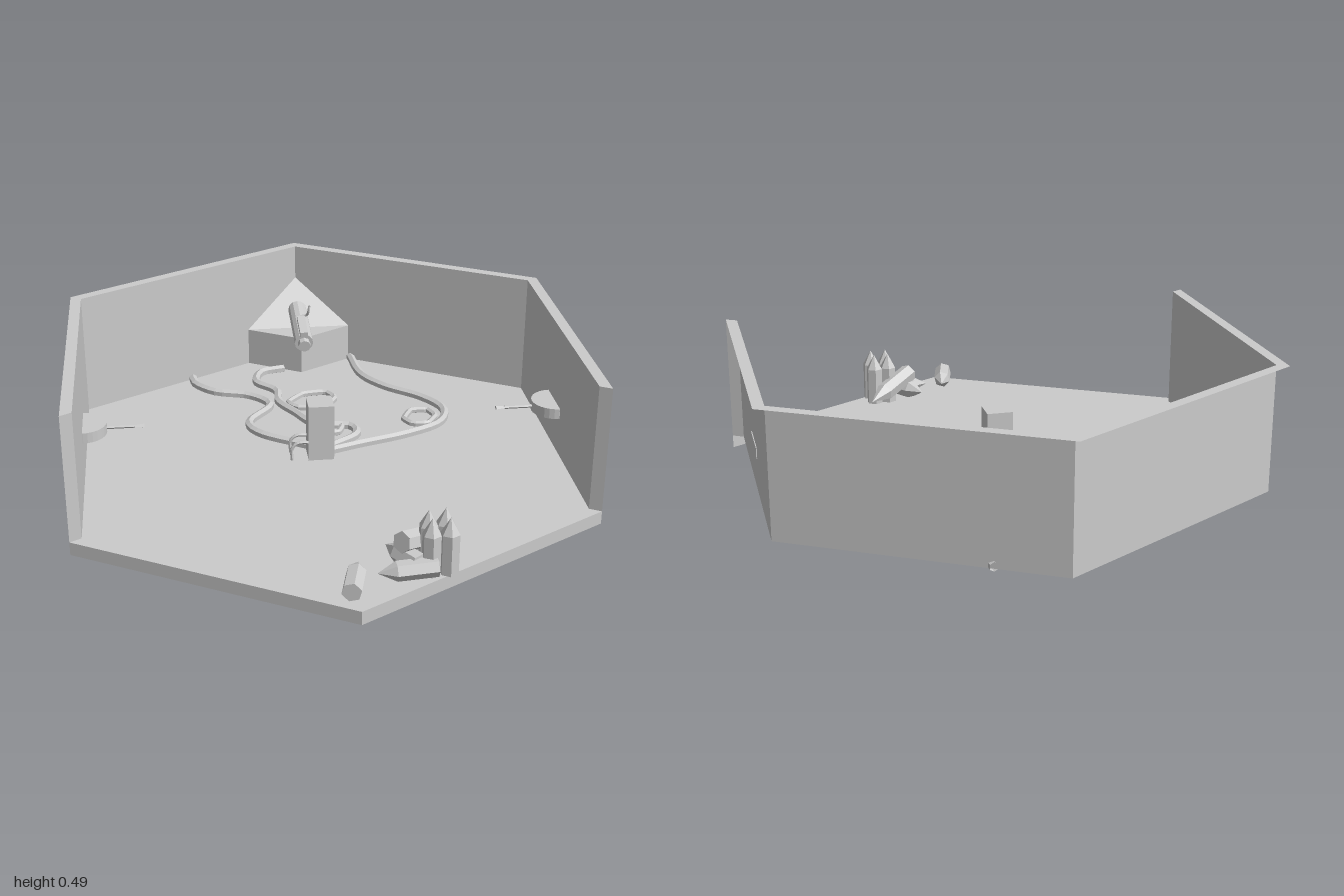
import * as THREE from 'three';

const FLOOR = 0.046, TOP = 0.49, INNER = 0.956;
const mat = new THREE.MeshStandardMaterial({ color: 0xcccccc, flatShading: true, side: THREE.DoubleSide });
const V = (x, y, z) => new THREE.Vector3(x, y, z);

function add(parent, geometry, name) {
  const mesh = new THREE.Mesh(geometry, mat);
  mesh.name = name;
  parent.add(mesh);
  return mesh;
}

// flat polygon from corner points, as a fan
function sheet(parent, name, ...pts) {
  const g = new THREE.BufferGeometry().setFromPoints(pts);
  const index = [];
  for (let i = 1; i < pts.length - 1; i++) index.push(0, i, i + 1);
  g.setIndex(index);
  g.computeVertexNormals();
  return add(parent, g, name);
}

// turn a mesh built along +y so it runs from a to b
function aim(mesh, a, b) {
  mesh.position.copy(a);
  mesh.quaternion.setFromUnitVectors(V(0, 1, 0), b.clone().sub(a).normalize());
  return mesh;
}

function rod(parent, name, a, b, r, sides) {
  const len = a.distanceTo(b);
  const g = new THREE.CylinderGeometry(r, r, len, sides).translate(0, len / 2, 0);
  return aim(add(parent, g, name), a, b);
}

// six-sided prism with a pointed end
function crystal(parent, a, b, r, tip) {
  const len = a.distanceTo(b);
  const profile = [[0, 0], [r, 0], [r, len - tip], [0, len]].map(p => new THREE.Vector2(...p));
  aim(add(parent, new THREE.LatheGeometry(profile, 6), 'crystal'), a, b);
}

// pipe lying on the floor through [x, z] points
function floorPipe(parent, name, pts, r, closed = false) {
  const path = pts.map(([x, z]) => V(x, 0.055, z));
  const curve = closed
    ? path.reduce((c, p, i) => (c.add(new THREE.LineCurve3(p, path[(i + 1) % path.length])), c), new THREE.CurvePath())
    : new THREE.CatmullRomCurve3(path);
  if (!closed) return add(parent, new THREE.TubeGeometry(curve, pts.length * 4, r, 6), name);
  const ring = new THREE.CatmullRomCurve3(path, true, 'catmullrom', 0.15);
  return add(parent, new THREE.TubeGeometry(ring, pts.length * 4, r, 6, true), name);
}

export function createModel() {
  const model = new THREE.Group();
  model.name = 'hexagonalRoom';

  // floor: full hexagon in front, inner hexagon behind the walls
  const outer = [[0.866, 0.5], [0.866, -0.5], [0, -1], [-0.866, -0.5], [-0.866, 0.5]];
  const inner = outer.map(([x, z]) => [x * INNER, z * INNER]);
  const outline = [[0, 1], outer[0], ...inner, outer[4]];
  const floor = new THREE.ShapeGeometry(new THREE.Shape(outline.map(([x, z]) => new THREE.Vector2(x, -z))));
  add(model, floor.rotateX(-Math.PI / 2).translate(0, FLOOR, 0), 'floor');

  // front rim below the floor edge
  for (const s of [1, -1]) {
    sheet(model, 'frontRim', V(s * 0.866, 0, 0.5), V(0, 0, 1), V(0, FLOOR, 1), V(s * 0.866, FLOOR, 0.5));
  }

  // walls with a flat overhanging top edge
  for (let i = 0; i < 4; i++) {
    const [a, b] = [inner[i], inner[i + 1]], [c, d] = [outer[i], outer[i + 1]];
    sheet(model, 'wall', V(a[0], FLOOR, a[1]), V(b[0], FLOOR, b[1]), V(b[0], TOP, b[1]), V(a[0], TOP, a[1]));
    sheet(model, 'wallTop', V(a[0], TOP, a[1]), V(c[0], TOP, c[1]), V(d[0], TOP, d[1]), V(b[0], TOP, b[1]));
  }
  for (const i of [0, 4]) {
    const [a, c] = [inner[i], outer[i]];
    sheet(model, 'wallEnd', V(a[0], FLOOR, a[1]), V(c[0], FLOOR, c[1]), V(c[0], TOP, c[1]), V(a[0], TOP, a[1]));
  }

  // corner pedestal with a sloping back
  const pedestal = new THREE.Group();
  pedestal.name = 'pedestal';
  model.add(pedestal);
  const L = V(-0.2, 0.19, -0.84), R = V(0.2, 0.19, -0.84), F = V(0, 0.19, -0.725);
  const down = p => V(p.x, FLOOR, p.z);
  sheet(pedestal, 'slope', L, R, V(0, 0.36, -0.955));
  sheet(pedestal, 'ledge', L, F, R);
  sheet(pedestal, 'pedestalLeft', down(F), down(R), R, F);
  sheet(pedestal, 'pedestalRight', down(L), down(F), F, L);

  // tilted barrel on the pedestal
  const barrel = new THREE.Group();
  barrel.name = 'barrel';
  model.add(barrel);
  const back = V(0, 0.25, -0.89), front = V(0, 0.212, -0.63);
  const at = (t, lift = 0) => back.clone().lerp(front, t).add(V(0, lift, 0));
  rod(barrel, 'barrelTube', back, front, 0.036, 12);
  rod(barrel, 'barrelTip', front, at(1.1), 0.024, 8);
  const block = add(barrel, new THREE.BoxGeometry(0.03, 0.02, 0.13), 'barrelBlock');
  block.position.copy(at(0.8, 0.04));
  block.rotation.x = 0.145;
  const hook = new THREE.CatmullRomCurve3([V(0, 0.27, -0.76), V(0.025, 0.28, -0.75), V(0.03, 0.3, -0.74), V(0.033, 0.32, -0.74)]);
  add(barrel, new THREE.TubeGeometry(hook, 10, 0.005, 6), 'barrelHook');

  // central cabinet with two bent side pipes
  const cabinet = add(model, new THREE.BoxGeometry(0.09, 0.205, 0.09), 'cabinet');
  cabinet.position.set(-0.008, FLOOR + 0.1025, -0.015);
  for (const z of [-0.043, 0.018]) {
    const bend = new THREE.CatmullRomCurve3([V(-0.04, 0.11, z), V(-0.09, 0.11, z), V(-0.11, 0.09, z), V(-0.11, 0.045, z)]);
    add(model, new THREE.TubeGeometry(bend, 12, 0.006, 6), 'cabinetPipe');
  }

  // half-round wall brackets with a lever
  for (const s of [1, -1]) {
    const half = new THREE.CylinderGeometry(0.082, 0.082, 0.038, 14, 1, false, s > 0 ? Math.PI : 0, Math.PI);
    add(model, half, 'wallBracket').position.set(s * 0.828, 0.195, -0.015);
    const plate = add(model, new THREE.BoxGeometry(0.006, 0.038, 0.164), 'bracketPlate');
    plate.position.set(s * 0.828, 0.195, -0.015);
    rod(model, 'lever', V(s * 0.75, 0.193, -0.015), V(s * 0.65, 0.193, -0.015), 0.006, 6);
    const tip = add(model, new THREE.CylinderGeometry(0.015, 0.006, 0.035, 4), 'leverTip');
    tip.scale.x = 0.5;
    tip.rotation.z = s * Math.PI / 2;
    tip.position.set(s * 0.635, 0.193, -0.015);
  }

  // winding pipes and loops on the floor
  const pipes = [
    [[-0.43, -0.7], [-0.42, -0.64], [-0.35, -0.56], [-0.22, -0.51], [-0.15, -0.42], [-0.24, -0.275], [-0.21, -0.19], [-0.03, -0.06]],
    [[-0.07, -0.75], [-0.16, -0.72], [-0.185, -0.63], [-0.115, -0.54], [-0.115, -0.445], [-0.06, -0.34], [0, -0.24], [0.13, -0.205], [0.14, -0.14], [0.03, -0.05]],
    [[0.208, -0.842], [0.23, -0.655], [0.3, -0.54], [0.43, -0.42], [0.49, -0.31], [0.455, -0.2], [0.32, -0.12], [0.14, -0.06], [0.03, -0.02]],
  ];
  pipes.forEach(p => floorPipe(model, 'floorPipe', p, 0.016));
  const loops = [
    [[-0.08, -0.435], [-0.02, -0.5], [0.07, -0.51], [0.1, -0.455], [0.05, -0.37], [-0.05, -0.385]],
    [[-0.005, -0.185], [0.03, -0.22], [0.095, -0.21], [0.075, -0.16], [0.02, -0.16]],
    [[0.33, -0.245], [0.365, -0.31], [0.43, -0.31], [0.45, -0.255], [0.41, -0.195], [0.355, -0.2]],
  ];
  loops.forEach(p => floorPipe(model, 'pipeLoop', p, 0.012, true));

  // crystal cluster at the front: four upright, four lying
  const cluster = new THREE.Group();
  cluster.name = 'crystalCluster';
  model.add(cluster);
  for (const [x, z] of [[0.238, 0.757], [0.292, 0.75], [0.238, 0.812], [0.295, 0.812]]) {
    crystal(cluster, V(x, FLOOR, z), V(x, 0.238, z), 0.031, 0.055);
  }
  crystal(cluster, V(0.15, 0.145, 0.785), V(0.322, 0.085, 0.635), 0.035, 0.08);
  crystal(cluster, V(0.255, 0.085, 0.838), V(0.068, 0.075, 0.842), 0.032, 0.06);
  crystal(cluster, V(0.2, 0.088, 0.825), V(0.115, 0.088, 0.695), 0.035, 0.06);
  crystal(cluster, V(-0.025, 0.086, 0.955), V(0.018, 0.086, 0.785), 0.032, 0.06);

  return model;
}
